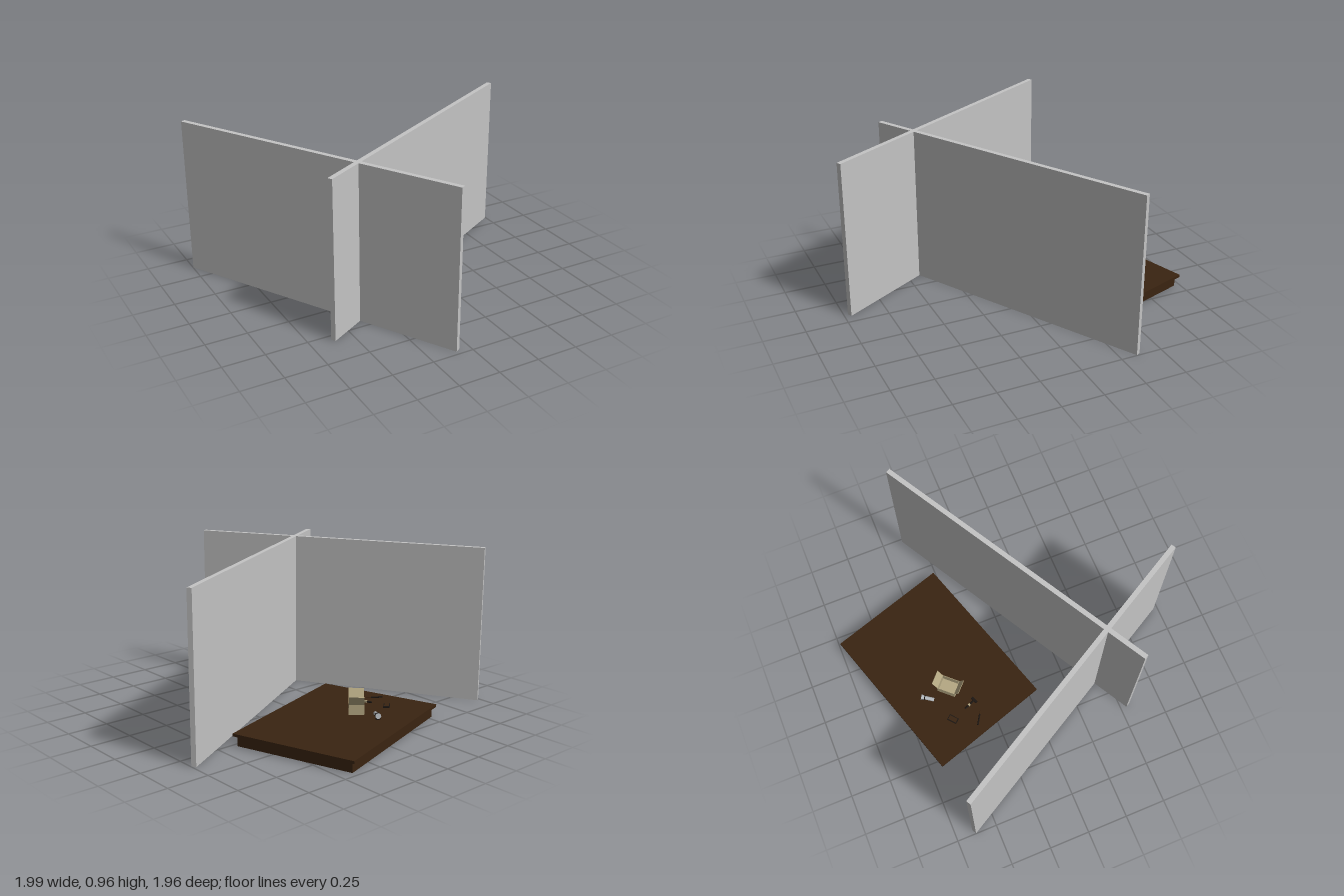
import * as THREE from 'three';

const mat = (name, color, side = THREE.FrontSide) => {
  const m = new THREE.MeshStandardMaterial({ color, side });
  m.name = name;
  return m;
};

export function createModel() {
  const model = new THREE.Group();
  model.name = 'partitionsAndTable';
  const wall = mat('wall grey', 0xc4c4c4);
  const wood = mat('dark wood', 0x3a2411);
  const card = mat('cardboard', 0xb5a883, THREE.DoubleSide);
  const steel = mat('pale steel', 0xb4b8bc);
  const black = mat('near black', 0x1c1612);

  const add = (parent, name, geo, material, x = 0, y = 0, z = 0) => {
    const m = new THREE.Mesh(geo, material);
    m.name = name;
    m.position.set(x, y, z);
    parent.add(m);
    return m;
  };
  const box = (w, h, d) => new THREE.BoxGeometry(w, h, d);
  const group = (name, x, y, z, degrees) => {
    const g = new THREE.Group();
    g.name = name;
    g.position.set(x, y, z);
    g.rotation.y = THREE.MathUtils.degToRad(degrees);
    model.add(g);
    return g;
  };

  // Two crossing partition walls
  const H = 0.965;
  for (const [name, x, z, a] of [['sideWall', -0.531, 0.165, -60.5], ['longWall', 0.186, 0.095, 29.5]]) {
    add(group(name, x, H / 2, z, a), name + 'Panel', box(1.846, H, 0.029), wall);
  }

  // Low table: overhanging top on a solid plinth
  const table = group('table', 0.053, 0, -0.47, 17.8);
  add(table, 'tableTop', box(1.033, 0.016, 0.759), wood, 0, 0.069, 0);
  add(table, 'tableBase', box(0.993, 0.061, 0.719), wood, 0, 0.0305, 0);
  const T = 0.077;

  // Open cardboard box with two raised end flaps
  const L = 0.115, W = 0.09, BH = 0.062, t = 0.003;
  const carton = group('carton', -0.104, T, -0.455, 47);
  add(carton, 'cartonFloor', box(L, t, W), card, 0, t / 2, 0);
  for (const s of [-1, 1]) {
    add(carton, 'cartonEnd', box(t, BH, W), card, s * (L - t) / 2, BH / 2, 0);
    add(carton, 'cartonSide', box(L, BH, t), card, 0, BH / 2, s * (W - t) / 2);
    const flap = add(carton, 'cartonFlap', box(t, 0.063, W), card, s * (L / 2 + 0.015), BH + 0.027, 0);
    flap.rotation.z = -s * 0.5;
  }

  // Small hand torch, tilted, with dark end and grip
  const torch = group('torch', -0.123, T, -0.605, 57);
  const body = add(torch, 'torchBody', new THREE.CylinderGeometry(0.012, 0.012, 0.06, 12), steel, -0.012, 0.016, 0);
  body.rotation.z = -Math.PI / 2 + 0.15;
  const head = add(torch, 'torchHead', new THREE.CylinderGeometry(0.017, 0.012, 0.022, 12), steel, 0.028, 0.021, 0);
  head.rotation.z = -Math.PI / 2 + 0.15;
  const ring = add(torch, 'torchRing', new THREE.TorusGeometry(0.014, 0.003, 6, 14), black, 0.016, 0.02, 0);
  ring.rotation.y = Math.PI / 2;
  add(torch, 'torchFoot', box(0.014, 0.01, 0.026), black, 0.03, 0.005, 0);

  // Wallet
  const wallet = group('wallet', -0.305, T, -0.506, 40);
  add(wallet, 'walletCover', box(0.062, 0.01, 0.037), black, 0, 0.005, 0);
  add(wallet, 'walletFace', box(0.052, 0.002, 0.027), wood, 0, 0.0105, 0);

  // Pen
  const pen = group('pen', -0.358, T, -0.353, -31);
  const barrel = add(pen, 'penBarrel', new THREE.CylinderGeometry(0.005, 0.005, 0.07, 8), black, -0.012, 0.005, 0);
  barrel.rotation.z = -Math.PI / 2;
  const tip = add(pen, 'penTip', new THREE.CylinderGeometry(0.001, 0.005, 0.026, 8), wood, 0.036, 0.005, 0);
  tip.rotation.z = -Math.PI / 2;

  // Little hammer
  const hammer = group('hammer', -0.256, T, -0.374, -68);
  const handle = add(hammer, 'hammerHandle', new THREE.CylinderGeometry(0.005, 0.006, 0.085, 8), black, 0, 0.008, 0);
  handle.rotation.z = -Math.PI / 2;
  add(hammer, 'hammerHead', box(0.016, 0.016, 0.04), black, 0.038, 0.008, 0);
  add(hammer, 'hammerCollar', box(0.014, 0.013, 0.013), card, -0.006, 0.0085, 0);

  return model;
}
